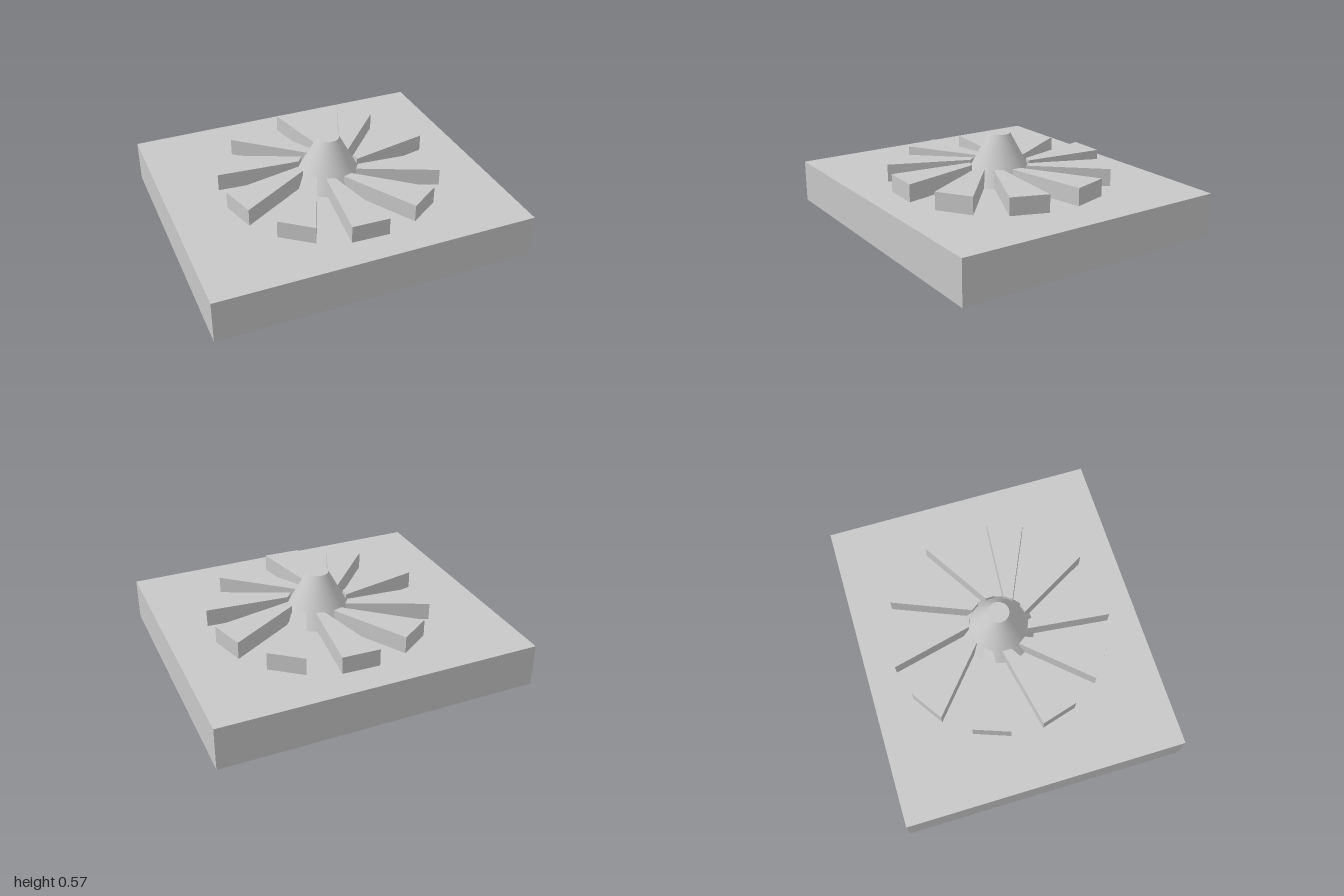
import * as THREE from 'three';

const BASE_TOP = 0.27;
const BLADE_TOP = 0.38;
const CONE_TOP = 0.57;
const HUB_X = 0.037;

export function createModel() {
  const model = new THREE.Group();
  model.name = 'bladedWheelOnSlab';
  const grey = new THREE.MeshStandardMaterial({ color: 0xc8c8c8 });
  grey.name = 'plain grey';

  const add = (parent, name, geometry) => {
    const mesh = new THREE.Mesh(geometry, grey);
    mesh.name = name;
    parent.add(mesh);
    return mesh;
  };

  // Rectangular slab
  add(model, 'base', new THREE.BoxGeometry(2, BASE_TOP, 1.76)).position.y = BASE_TOP / 2;

  const wheel = new THREE.Group();
  wheel.name = 'wheel';
  wheel.position.set(HUB_X, BASE_TOP, 0);
  model.add(wheel);

  // Truncated cone hub
  const coneHeight = CONE_TOP - BASE_TOP;
  add(wheel, 'hubCone', new THREE.CylinderGeometry(0.067, 0.227, coneHeight, 64)).position.y = coneHeight / 2;

  // Skewed, tapering blade: the inner end is turned 16 degrees clockwise
  const polar = (radius, degrees) => {
    const a = THREE.MathUtils.degToRad(degrees);
    return new THREE.Vector2(radius * Math.sin(a), radius * Math.cos(a));
  };
  const outline = new THREE.Shape([
    polar(0.7, -9.7),
    polar(0.187, 7),
    polar(0.187, 25.2),
    polar(0.7, 9.7),
  ]);
  const bladeGeometry = new THREE.ExtrudeGeometry(outline, {
    depth: BLADE_TOP - BASE_TOP,
    bevelEnabled: false,
  });
  bladeGeometry.rotateX(-Math.PI / 2);

  // Ten blades around the hub
  for (let i = 0; i < 10; i++) {
    add(wheel, `blade${i + 1}`, bladeGeometry).rotation.y = -THREE.MathUtils.degToRad(2 + i * 36);
  }

  return model;
}
